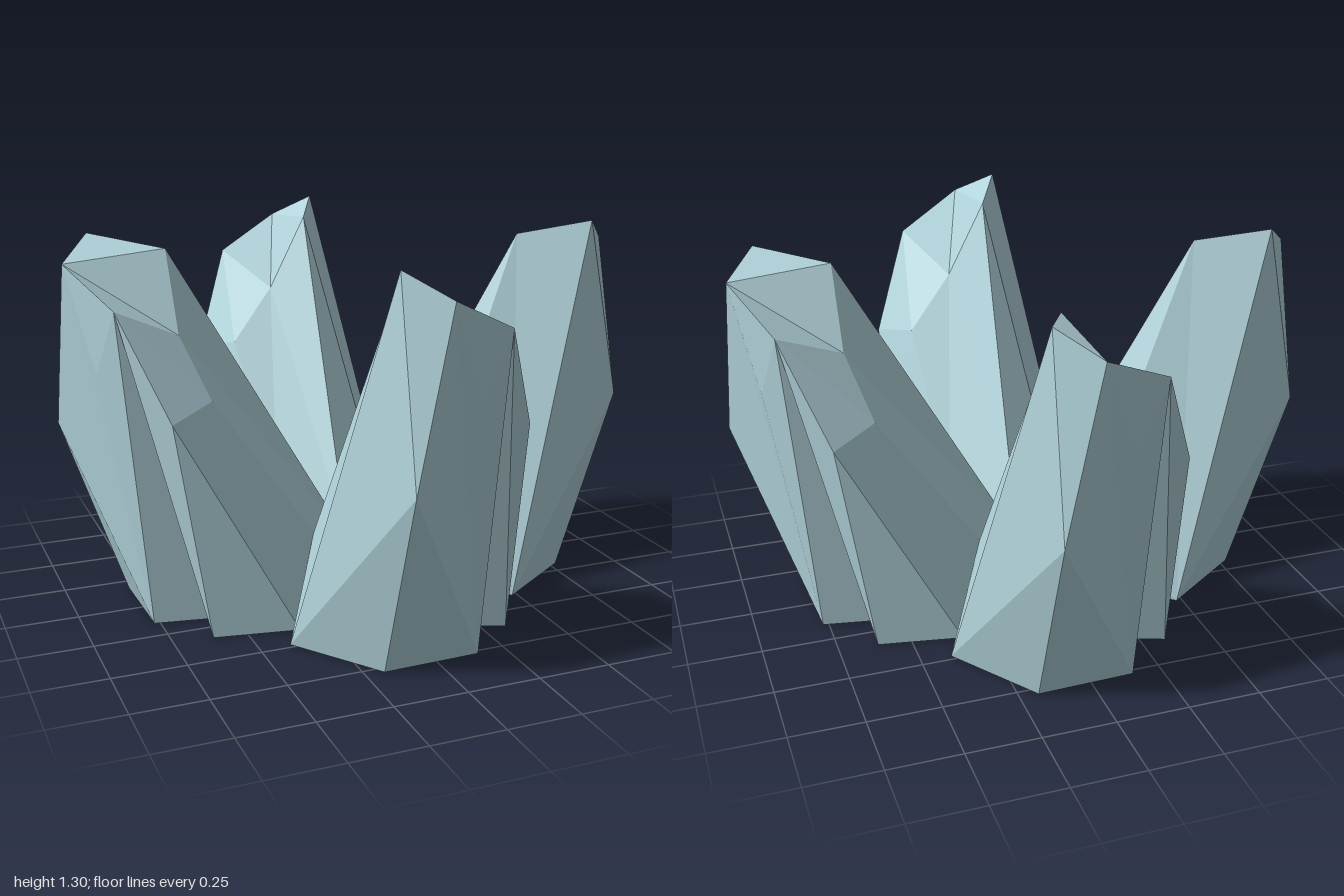
import * as THREE from 'three';

// corners of one crystal leaning out along +x
const P = {
  tip: [0.87, 1.3, 0.185], t1: [0.98, 1.22, 0.06], t2: [0.87, 1.1, -0.19], t3: [0.63, 0.98, -0.07], t4: [0.63, 1.25, 0.07],
  q: [1.0, 0.65, 0.185], m1: [0.91, 0.87, -0.07], m2: [0.73, 0.75, -0.335], m3: [0.57, 0.79, -0.24],
  b0: [0.48, 0, 0.395], b1: [0.78, 0, 0.185], b2: [0.77, 0, -0.15], b3: [0.615, 0, -0.335], b4: [0.56, 0, -0.187], b5: [0.325, 0, -0.385],
  next: [0.385, 0, 0.325], // first foot of the neighbouring crystal
  seamL: [0.2, 0.27, 0.205], seamR: [0.205, 0.27, -0.2], core: [0, 0.15, 0],
};

const FACES = [
  // top facets
  'tip t1 t4', 't1 t2 t3', 't1 t3 t4',
  // broad flank
  'tip t4 b0', 't4 seamL b0', 'seamL next b0', 't4 core seamL', 'tip b0 q',
  // outer end
  'q b0 b1', 'tip q t1', 't1 q b2', 'q b1 b2', 't1 b2 m1', 't1 m1 t2', 'm1 b2 t2',
  // grooved flank
  't2 b2 b4', 't2 b4 b3', 't2 b3 m2', 'm2 b3 b5', 't2 m2 m3', 'm2 b5 m3', 'm3 b5 seamR',
  // inner slope
  't2 m3 t3', 't3 m3 seamR', 't3 seamR core', 't4 t3 core',
];

function facets(triangles) {
  const geo = new THREE.BufferGeometry();
  geo.setAttribute('position', new THREE.Float32BufferAttribute(triangles.flat(2), 3));
  geo.computeVertexNormals();
  return geo;
}

export function createModel() {
  const group = new THREE.Group();
  group.name = 'crystalCluster';
  const ice = new THREE.MeshStandardMaterial({ color: 0xb2d4dc, flatShading: true });
  ice.name = 'paleIceBlue';

  const add = (name, geo) => {
    const mesh = new THREE.Mesh(geo, ice);
    mesh.name = name;
    group.add(mesh);
    return mesh;
  };

  // four crystals in quarter turns
  const crystal = facets(FACES.map((f) => f.split(' ').map((n) => P[n])));
  for (let k = 0; k < 4; k++) add('crystal' + (k + 1), crystal).rotation.y = -k * Math.PI / 2;

  // notched underside with a square opening
  const outline = [], opening = [];
  for (let k = 0; k < 4; k++) {
    for (const n of ['b5', 'b3', 'b4', 'b2', 'b1', 'b0']) {
      outline.push(new THREE.Vector2(P[n][0], P[n][2]).rotateAround(new THREE.Vector2(), k * Math.PI / 2));
    }
    const a = 0.67 + k * Math.PI / 2;
    opening.push(new THREE.Vector2(Math.cos(a), Math.sin(a)).multiplyScalar(0.165));
  }
  const shape = new THREE.Shape(outline);
  shape.holes.push(new THREE.Path(opening));
  add('underside', new THREE.ShapeGeometry(shape).rotateX(Math.PI / 2));

  // shallow pyramid pit under the middle
  add('pit', facets(opening.map((a, i) => {
    const b = opening[(i + 1) % 4];
    return [[a.x, 0, a.y], [b.x, 0, b.y], [0, 0.07, 0]];
  })));

  return group;
}
